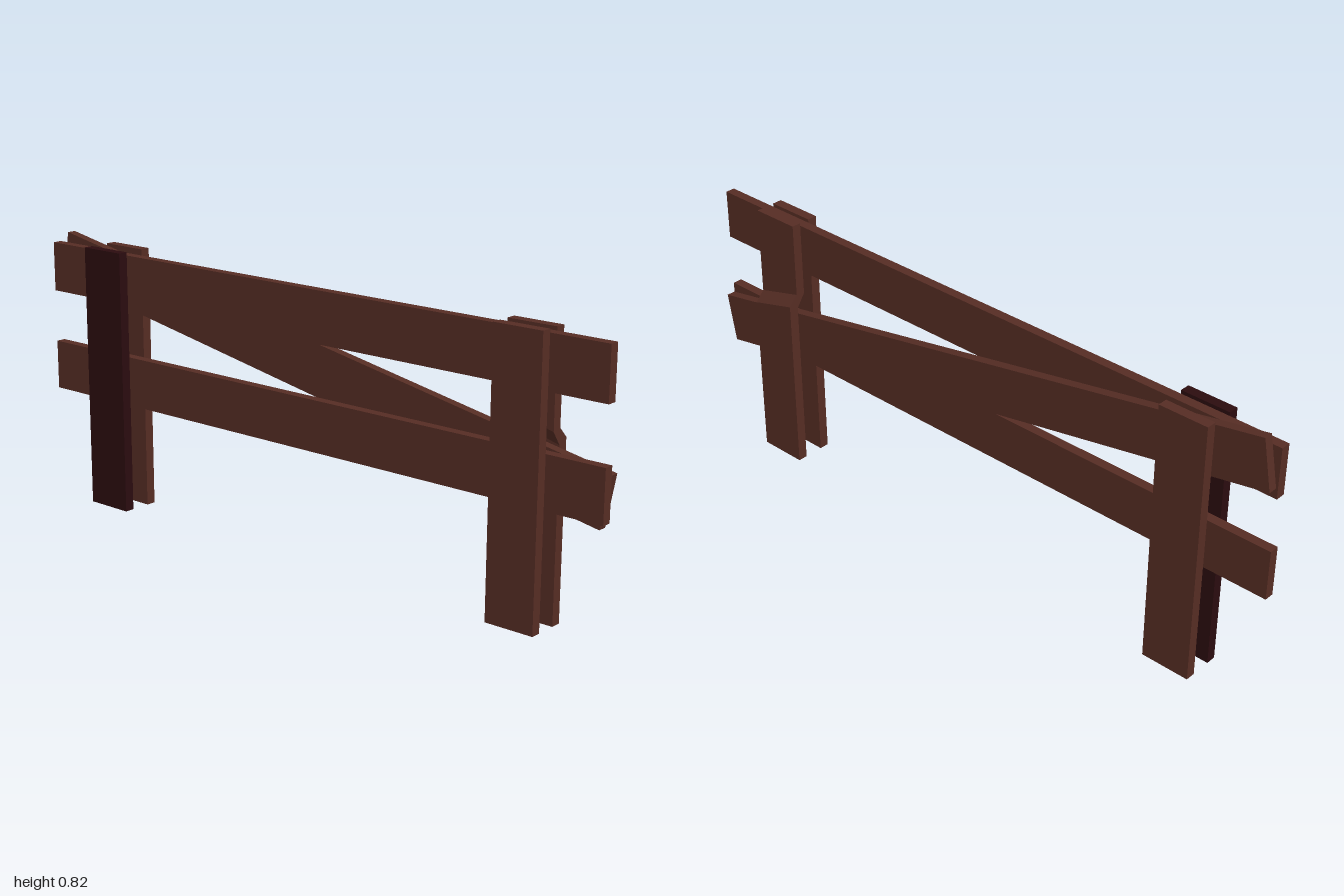
import * as THREE from 'three';

export function createModel() {
  const fence = new THREE.Group();
  fence.name = 'fence';
  const brown = new THREE.MeshStandardMaterial({ name: 'brown wood', color: 0x562d24 });
  const dark = new THREE.MeshStandardMaterial({ name: 'dark red wood', color: 0x2b0c0f });

  const add = (name, geometry, material, x, y, z) => {
    const mesh = new THREE.Mesh(geometry, material);
    mesh.name = name;
    mesh.position.set(x, y, z);
    fence.add(mesh);
    return mesh;
  };
  const T = 0.03, W = 0.15; // plank thickness and width

  // Horizontal rails
  const rail = new THREE.BoxGeometry(T - 0.001, W, 2);
  add('lowerRail', rail, brown, -0.015, 0.405, 0);
  add('upperRail', rail, brown, -0.015, 0.715, 0);

  // Diagonal brace, rising toward the back
  const tilt = Math.atan2(0.37, 1.97);
  const brace = add('diagonalBrace', new THREE.BoxGeometry(0.027, W, 2), brown, 0.0165, 0.5625, 0);
  brace.rotation.x = tilt;

  // Straight posts
  const post = new THREE.BoxGeometry(T, 0.8, W);
  add('frontRightPost', post, brown, -0.045, 0.4, 0.75);
  add('backRightPost', post, dark, -0.045, 0.4, -0.75);
  add('backLeftPost', post, brown, 0.045, 0.4, -0.75);

  // Bent post: steps inward above the brace, its bend following the brace's slope
  const profile = new THREE.Shape([
    [0.03, 0], [0.06, 0], [0.06, 0.525], [0.031, 0.555],
    [0.031, 0.8], [0.002, 0.8], [0.002, 0.55], [0.03, 0.51],
  ].map(([x, y]) => new THREE.Vector2(x, y)));
  const bent = new THREE.ExtrudeGeometry(profile, { depth: W, bevelEnabled: false });
  bent.translate(0, 0, -W / 2);
  const p = bent.attributes.position;
  for (let i = 0; i < p.count; i++) {
    const y = p.getY(i);
    if (y > 0.4 && y < 0.7) p.setY(i, y - p.getZ(i) * 0.27);
  }
  bent.computeVertexNormals();
  add('frontLeftBentPost', bent, brown, 0, 0, 0.75);

  return fence;
}
